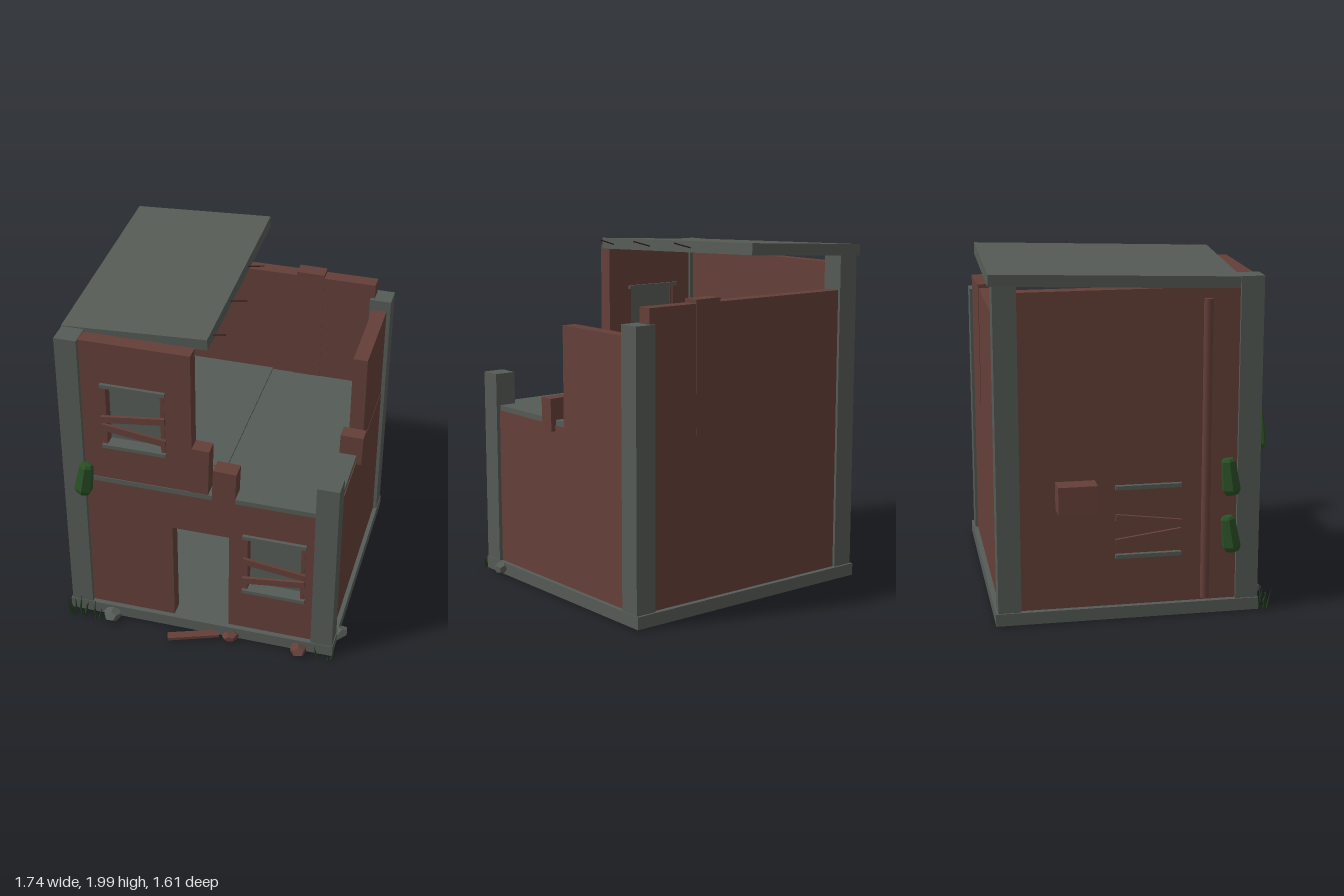
import * as THREE from 'three';

const mat = (name, color) => {
  const m = new THREE.MeshStandardMaterial({ color });
  m.name = name;
  return m;
};

export function createModel() {
  const brick = mat('brick', 0x643f38);
  const concrete = mat('concrete', 0x555b56);
  const foliage = mat('foliage', 0x2a5026);
  const grass = mat('grass', 0x21401d);
  const rust = mat('rust', 0x38221e);
  const root = new THREE.Group();
  root.name = 'ruinedHouse';

  const add = (name, geo, material, parent = root) => {
    const m = new THREE.Mesh(geo, material);
    m.name = name;
    parent.add(m);
    return m;
  };
  // Box given by its min and max along each axis
  const box = (name, material, x0, x1, y0, y1, z0, z1, parent = root) => {
    const m = add(name, new THREE.BoxGeometry(x1 - x0, y1 - y0, z1 - z0), material, parent);
    m.position.set((x0 + x1) / 2, (y0 + y1) / 2, (z0 + z1) / 2);
    return m;
  };
  const flat = (geo) => {
    const g = geo.index ? geo.toNonIndexed() : geo;
    g.computeVertexNormals();
    return g;
  };

  // Foundation and upper floor
  box('foundation', concrete, -0.775, 0.815, 0.015, 0.085, -0.795, 0.675);
  box('upperFloor', concrete, -0.73, 0.785, 0.985, 1.015, -0.75, 0.65);
  box('floorPanel', concrete, -0.66, 0.105, 1.01, 1.025, -0.68, 0.385);

  // Corner columns, broken at different heights
  for (const [x, z, top] of [[-0.703, 0.608, 1.905], [0.748, 0.608, 1.2],
    [-0.703, -0.718, 1.895], [0.748, -0.718, 1.615]]) {
    box('cornerColumn', concrete, x - 0.063, x + 0.063, 0.08, top, z - 0.063, z + 0.063);
  }

  // Front wall: broken outline with doorway notch and two window openings
  const front = new THREE.Shape([
    [-0.65, 0.08], [-0.14, 0.08], [-0.14, 0.735], [0.19, 0.735], [0.19, 0.08],
    [0.69, 0.08], [0.69, 0.985], [-0.02, 0.985], [-0.02, 1.9], [-0.65, 1.9],
  ].map(([x, y]) => new THREE.Vector2(x, y)));
  const windows = [[0.455, 0.57, 1], [-0.345, 1.44, -1]];
  for (const [x, y] of windows) {
    front.holes.push(new THREE.Path([[-1, -1], [-1, 1], [1, 1], [1, -1]]
      .map(([a, b]) => new THREE.Vector2(x + a * 0.165, y + b * 0.187))));
  }
  add('frontWall', new THREE.ExtrudeGeometry(front, { depth: 0.085, bevelEnabled: false }), brick)
    .position.z = 0.56;

  // Remaining walls
  box('backWall', brick, -0.65, 0.71, 0.08, 1.7, -0.765, -0.68);
  box('rightWall', brick, -0.745, -0.665, 0.08, 1.85, -0.66, 0.55);
  box('leftWallLower', brick, 0.705, 0.79, 0.08, 0.985, -0.66, 0.55);
  box('leftWallUpper', brick, 0.705, 0.788, 0.98, 1.55, -0.66, -0.1);

  // Loose chunks of masonry on the broken edges
  box('frontChunk', brick, -0.03, 0.075, 0.97, 1.308, 0.558, 0.648).rotation.z = -0.03;
  box('frontChunk', brick, 0.098, 0.23, 0.98, 1.187, 0.555, 0.652).rotation.z = -0.04;
  box('sideChunk', brick, 0.685, 0.817, 0.953, 1.137, -0.02, 0.068).rotation.z = -0.02;
  box('backChunk', brick, 0.235, 0.4, 1.0, 1.722, -0.768, -0.677).rotation.z = -0.01;
  box('wallStub', brick, -0.87, -0.7, 0.66, 0.815, -0.46, -0.245).rotation.z = -0.04;

  // Boarded windows, built around their centre and facing +z
  const boardedWindow = (x, y, z, slope, pane) => {
    const g = new THREE.Group();
    g.name = 'boardedWindow';
    g.position.set(x, y, z);
    root.add(g);
    for (const s of [-1, 1]) {
      box('windowLedge', concrete, -0.183, 0.183, s * 0.197 - 0.011, s * 0.197 + 0.011, -0.06, 0.063, g);
      const b = box('windowBoard', brick, -0.183, 0.183, -0.02, 0.02, 0.045, 0.063, g);
      b.position.y = s * 0.048 - 0.045;
      b.rotation.z = -s * slope * 0.13;
    }
    if (pane) {
      box('windowPane', concrete, -0.17, 0.17, -0.19, 0.19, -0.025, -0.016, g);
      for (const s of [-1, 1]) {
        box('windowJamb', brick, s * 0.165 - 0.011, s * 0.165 + 0.011, -0.187, 0.187, -0.03, 0.047, g);
      }
    }
    return g;
  };
  for (const [x, y, slope] of windows) boardedWindow(x, y, 0.602, slope, true);
  boardedWindow(-0.707, 0.57, 0.05, 1, false).rotation.y = -Math.PI / 2;

  // Tilted remnant of the roof with bent rebar on its broken edge
  const roof = add('roofSlab', new THREE.BoxGeometry(0.815, 0.064, 1.342), concrete);
  roof.position.set(-0.363, 1.92, -0.13);
  roof.rotation.set(0.037, 0, 0.055);
  for (const [z, len] of [[-0.285, 0.1], [0.085, 0.1], [0.43, 0.08]]) {
    const y = 1.937 - z * 0.037;
    const path = new THREE.LineCurve3(new THREE.Vector3(0.02, y - 0.012, z - 0.005),
      new THREE.Vector3(0.045 + len, y + 0.025, z + 0.024));
    add('rebar', new THREE.TubeGeometry(path, 1, 0.004, 5), rust);
  }

  // Drainpipe on the right wall
  const pipe = add('drainpipe', new THREE.CylinderGeometry(0.025, 0.025, 1.69, 8), brick);
  pipe.position.set(-0.752, 0.945, 0.37);

  // Hanging clumps of ivy
  const ivyProfile = [[0, -0.105], [0.04, -0.1], [0.055, -0.07], [0.042, 0.09], [0.03, 0.105], [0, 0.108]]
    .map(([r, y]) => new THREE.Vector2(r, y));
  for (const [x, y, z, ry, rz] of [[-0.632, 1.015, 0.69, 0, -0.16],
    [-0.772, 0.47, 0.505, 1.57, -0.15], [-0.772, 0.8, 0.5, 1.57, -0.12]]) {
    const ivy = add('ivyClump', flat(new THREE.LatheGeometry(ivyProfile, 6)), foliage);
    ivy.position.set(x, y, z);
    ivy.rotation.set(0, ry, rz);
    ivy.scale.z = 0.8;
  }

  // Rubble around the foundation
  for (const [x, y, z, w, h, d, m] of [
    [-0.51, 0.042, 0.7, 0.065, 0.034, 0.055, concrete],
    [0.215, 0.038, 0.69, 0.052, 0.03, 0.042, brick],
    [0.62, 0.04, 0.695, 0.062, 0.032, 0.05, brick],
    [0.825, 0.052, 0.51, 0.04, 0.036, 0.06, concrete]]) {
    const rock = add('rubble', flat(new THREE.DodecahedronGeometry(1)), m);
    rock.scale.set(w, h, d);
    rock.position.set(x, y, z);
    rock.rotation.y = x * 3;
  }
  const plank = add('fallenPlank', new THREE.BoxGeometry(0.3, 0.018, 0.05), brick);
  plank.position.set(0, 0.03, 0.735);
  plank.rotation.y = 0.36;

  // Grass tufts: thin three-sided blades
  const tuft = (cx, cz, count, height) => {
    for (let i = 0; i < count; i++) {
      const a = i * 2.4;
      const h = height * (0.55 + 0.45 * Math.abs(Math.sin(i * 1.7 + 1)));
      const geo = new THREE.ConeGeometry(0.008, h, 3);
      geo.translate(0, h / 2, 0);
      const blade = add('grassBlade', flat(geo), grass);
      blade.position.set(cx + Math.cos(a) * 0.045, 0.01, cz + Math.sin(a) * 0.025);
      blade.rotation.set(Math.sin(a) * 0.2, 0, -Math.cos(a) * 0.22);
    }
  };
  tuft(-0.72, 0.715, 8, 0.13);
  tuft(-0.63, 0.72, 4, 0.09);
  tuft(0.77, 0.695, 5, 0.07);

  return root;
}
